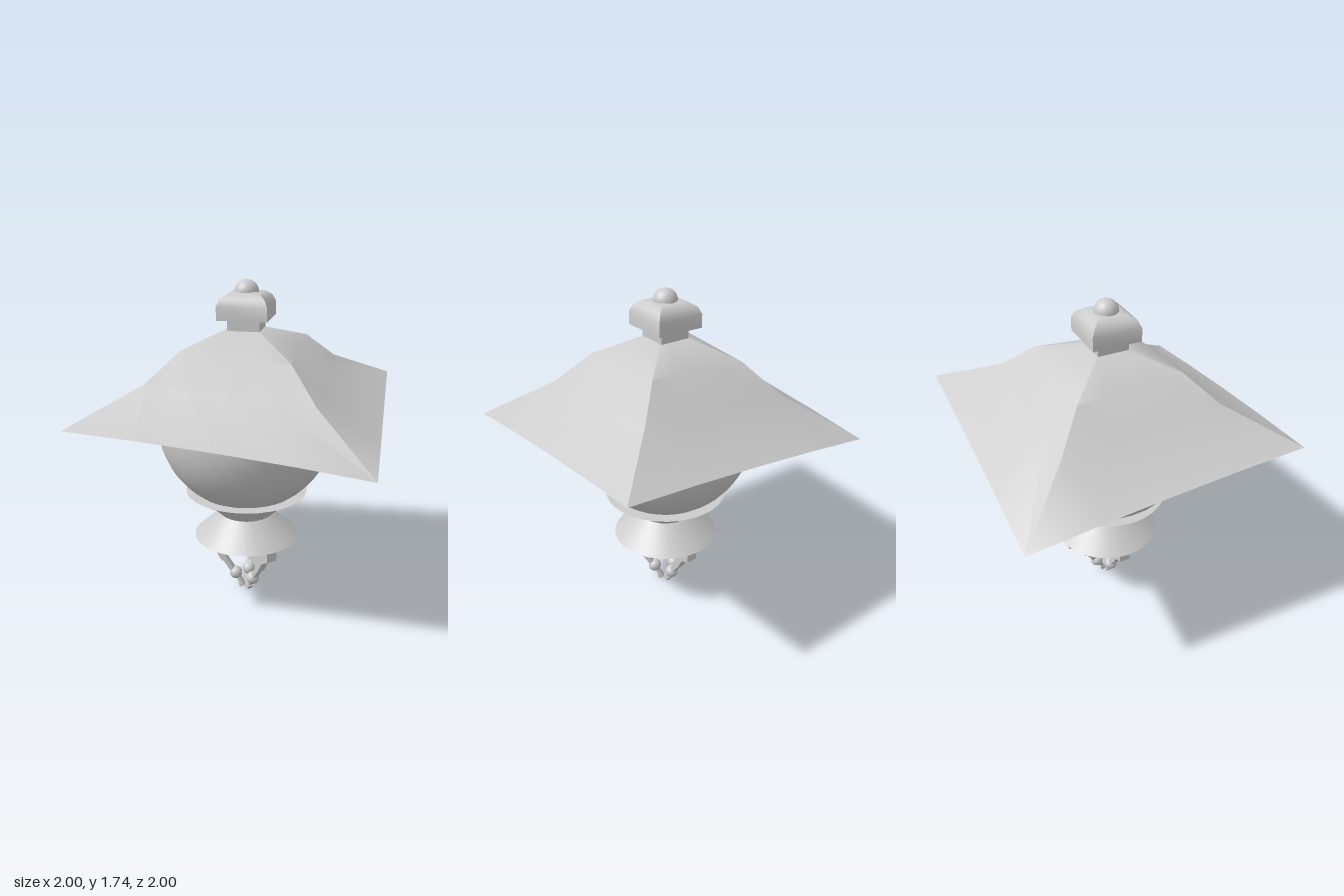
import * as THREE from 'three';
import { toCreasedNormals } from 'three/addons/utils/BufferGeometryUtils.js';

const material = new THREE.MeshStandardMaterial({ color: 0xcccccc });

function add(parent, name, geometry, crease = 0.6) {
  const mesh = new THREE.Mesh(crease ? toCreasedNormals(geometry, crease) : geometry, material);
  mesh.name = name;
  parent.add(mesh);
  return mesh;
}

// Solid of revolution; profile runs from bottom to top
const lathe = (profile, sides) =>
  new THREE.LatheGeometry(profile.map(([r, y]) => new THREE.Vector2(r, y)), sides);

// Four-cornered roof: each ring has its own height at the side and front/back corners
function roofGeometry() {
  const rings = [ // radius, side corner y, front corner y, extra height at mid edge
    [0, 1.49, 1.49, 0],
    [0.115, 1.49, 1.49, 0],
    [0.385, 1.42, 1.38, 0],
    [0.58, 1.285, 1.22, 0],
    [1, 1.13, 1.0, 0.013],
    [0, 1.08, 1.08, 0], // middle of the underside
  ];
  const perSide = 4, n = perSide * 4;
  const positions = [], index = [];
  rings.forEach(([r, ySide, yFront, lift], k) => {
    for (let i = 0; i < n; i++) {
      const side = Math.floor(i / perSide), t = (i % perSide) / perSide;
      const a = side * Math.PI / 2, b = a + Math.PI / 2;
      const x = r * (Math.sin(a) * (1 - t) + Math.sin(b) * t);
      const z = r * (Math.cos(a) * (1 - t) + Math.cos(b) * t);
      const towardSide = side % 2 ? 1 - t : t;
      const y = yFront + (ySide - yFront) * towardSide + lift * 4 * t * (1 - t);
      positions.push(x, y, z);
      if (k < rings.length - 1) {
        const j = (i + 1) % n, p = k * n, q = p + n;
        if (rings[k + 1][0] > 0) index.push(p + i, q + i, q + j);
        if (r > 0) index.push(p + i, q + j, p + j);
      }
    }
  });
  const geometry = new THREE.BufferGeometry();
  geometry.setAttribute('position', new THREE.Float32BufferAttribute(positions, 3));
  geometry.setIndex(index);
  return geometry;
}

// Straight bar between two points in the leg's own plane
function bar(parent, name, [x0, y0], [x1, y1], thick, width) {
  const mesh = add(parent, name, new THREE.BoxGeometry(thick, Math.hypot(x1 - x0, y1 - y0), width));
  mesh.position.set((x0 + x1) / 2, (y0 + y1) / 2, 0);
  mesh.rotation.z = Math.atan2(y1 - y0, x1 - x0) - Math.PI / 2;
}

function createLeg() {
  const leg = new THREE.Group();
  leg.name = 'leg';

  // U-shaped bracket hanging under the base
  const outline = [[0.245, 0.35], [0.19, 0.35], [0.19, 0.28], [0.115, 0.295],
    [0.115, 0.35], [0.06, 0.35], [0.06, 0.215], [0.12, 0.215], [0.245, 0.27]];
  const shape = new THREE.Shape(outline.map(([x, y]) => new THREE.Vector2(x, y)));
  const bracket = new THREE.ExtrudeGeometry(shape, { depth: 0.06, bevelEnabled: false });
  bracket.translate(0, 0, -0.03);
  add(leg, 'bracket', bracket);

  // Arm, ball joint and claw
  bar(leg, 'upperArm', [0.165, 0.24], [0.125, 0.17], 0.035, 0.045);
  bar(leg, 'lowerArm', [0.13, 0.18], [0.065, 0.085], 0.026, 0.034);
  add(leg, 'ballJoint', new THREE.SphereGeometry(0.036, 16, 12), 0).position.set(0.062, 0.085, 0);
  bar(leg, 'claw', [0.055, 0.075], [0.025, 0.022], 0.02, 0.025);
  bar(leg, 'clawTip', [0.032, 0.028], [0.022, 0.006], 0.026, 0.032);
  return leg;
}

export function createModel() {
  const model = new THREE.Group();
  model.name = 'lantern';

  // Legs: one in front, two at the back
  for (const angle of [-Math.PI / 2, Math.PI / 4, Math.PI * 3 / 4]) {
    const leg = createLeg();
    leg.rotation.y = angle;
    model.add(leg);
  }

  // Waisted base with a thin rim above it
  add(model, 'base', lathe([[0, 0.347], [0.285, 0.347], [0.145, 0.48], [0.272, 0.605], [0, 0.605]], 32));
  add(model, 'rim', lathe([[0, 0.602], [0.305, 0.602], [0.328, 0.615], [0, 0.615]], 32));

  // Round lamp body, its top hidden inside the roof
  const body = [];
  for (let i = 0; i <= 12; i++) {
    const a = -0.96 + i * (1.36 / 12);
    body.push([0.467 * Math.cos(a), 1.0 + 0.467 * Math.sin(a)]);
  }
  add(model, 'lampBody', lathe(body, 32));

  add(model, 'roof', roofGeometry());

  // Square neck, cap and finial, corners lined up with the roof
  add(model, 'neck', lathe([[0, 1.47], [0.115, 1.47], [0.115, 1.56], [0, 1.56]], 4));
  add(model, 'cap', lathe([[0, 1.547], [0.18, 1.547], [0.18, 1.615], [0.158, 1.65],
    [0.115, 1.672], [0.05, 1.68], [0, 1.68]], 4));
  add(model, 'finial', new THREE.SphereGeometry(0.062, 24, 16), 0).position.y = 1.674;

  return model;
}
